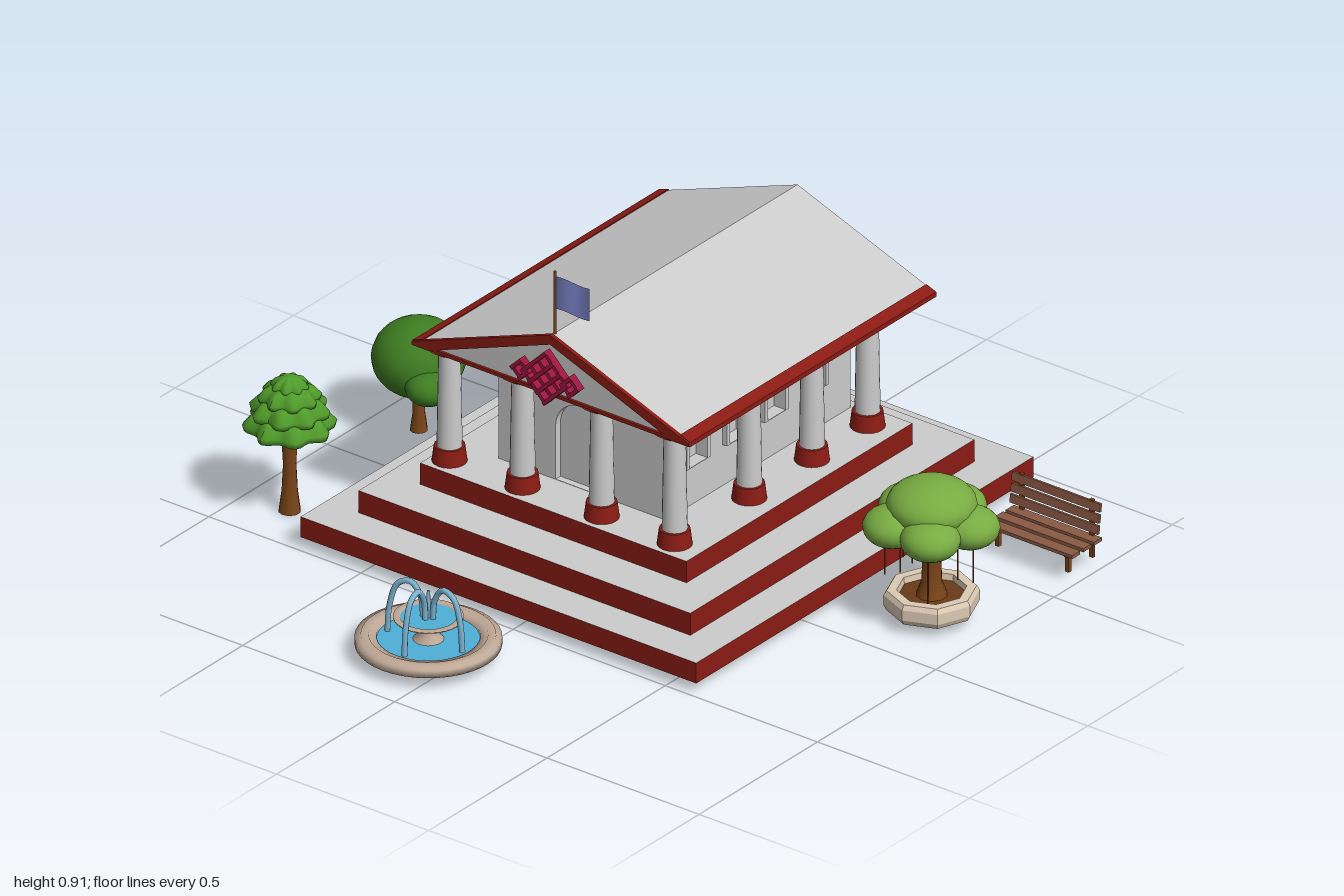
import * as THREE from 'three';

const mat = (color, extra = {}) => new THREE.MeshStandardMaterial({ color, side: THREE.DoubleSide, ...extra });
const GREY = mat(0xcccccc), RED = mat(0x8b1c14), REDFLAT = mat(0x8b1c14, { flatShading: true });
const CREAM = mat(0xdccab4, { flatShading: true }), STONE = mat(0xbfa896), WATER = mat(0x4fb0d8), JET = mat(0x7db4d2);
const BARK = mat(0x7a4418), SOIL = mat(0x6b3a18), WOOD = mat(0x8a5a44), KNOT = mat(0x9c1440), FLAG = mat(0x7f88d0);

export function createModel() {
  const root = new THREE.Group();
  const group = (name, x = 0, y = 0, z = 0) => {
    const g = new THREE.Group();
    g.name = name;
    g.position.set(x, y, z);
    root.add(g);
    return g;
  };
  const add = (parent, name, geo, material, x = 0, y = 0, z = 0) => {
    const m = new THREE.Mesh(geo, material);
    m.name = name;
    m.position.set(x, y, z);
    parent.add(m);
    return m;
  };
  const box = (w, h, d) => new THREE.BoxGeometry(w, h, d);
  const poly = (pts) => new THREE.Shape(pts.map(([x, y]) => new THREE.Vector2(x, y)));
  const extrude = (shape, depth) => new THREE.ExtrudeGeometry(shape, { depth, bevelEnabled: false, curveSegments: 10 });
  const lathe = (pts, seg = 32) => new THREE.LatheGeometry(pts.map(([r, y]) => new THREE.Vector2(r, y)), seg);
  // round-topped outline with its foot at (cx, y0)
  const arch = (path, cx, y0, w, h) => {
    path.moveTo(cx - w / 2, y0);
    path.lineTo(cx + w / 2, y0);
    path.lineTo(cx + w / 2, y0 + h - w / 2);
    path.absarc(cx, y0 + h - w / 2, w / 2, 0, Math.PI, false);
    path.lineTo(cx - w / 2, y0);
    return path;
  };
  const CX = -0.08;

  // stepped base: open red walls with grey ring treads
  const steps = [
    [-0.71, 0.59, -0.94, 0.485, 0.03, 0.09],
    [-0.605, 0.485, -0.825, 0.375, 0.09, 0.155],
    [-0.5, 0.375, -0.705, 0.25, 0.155, 0.218],
  ];
  const base = group('steppedBase');
  const rect = ([x0, x1, z0, z1]) => [[x0, -z1], [x1, -z1], [x1, -z0], [x0, -z0]];
  steps.forEach((s, i) => {
    const [x0, x1, z0, z1, y0, y1] = s;
    const wall = new THREE.CylinderGeometry(Math.SQRT1_2, Math.SQRT1_2, 1, 4, 1, true, Math.PI / 4);
    wall.scale(x1 - x0, y1 - y0, z1 - z0);
    add(base, 'stepRiser', wall, REDFLAT, (x0 + x1) / 2, (y0 + y1) / 2, (z0 + z1) / 2);
    const tread = poly(rect(s));
    if (steps[i + 1]) tread.holes.push(poly(rect(steps[i + 1])));
    add(base, 'stepTread', new THREE.ShapeGeometry(tread).rotateX(-Math.PI / 2), GREY, 0, y1, 0);
  });

  // hall walls with arched door and windows
  const hall = group('hall');
  const Y0 = 0.218, Y1 = 0.558, ZF = 0.105, ZB = -0.675, XL = -0.355, XR = 0.195, T = 0.03;
  const front = poly([[XL, Y0], [XR, Y0], [XR, Y1], [XL, Y1]]);
  front.holes.push(arch(new THREE.Path(), CX - 0.005, Y0 + 0.001, 0.165, 0.24));
  add(hall, 'frontWall', extrude(front, T), GREY, 0, 0, ZF - T);
  add(hall, 'door', extrude(arch(new THREE.Shape(), CX - 0.005, Y0, 0.165, 0.24), 0.005), GREY, 0, 0, ZF - 0.025);
  add(hall, 'backWall', box(XR - XL, Y1 - Y0, T), GREY, (XL + XR) / 2, (Y0 + Y1) / 2, ZB + T / 2);
  const windowZ = [-0.015, -0.185, -0.345, -0.515];
  for (const side of [1, -1]) {
    const outer = side > 0 ? XR : XL;
    const wall = poly([[ZB, Y0], [ZF, Y0], [ZF, Y1], [ZB, Y1]]);
    windowZ.forEach((z) => wall.holes.push(arch(new THREE.Path(), z, 0.34, 0.075, 0.115)));
    const turn = (shape, d) => extrude(shape, d).rotateY(-Math.PI / 2);
    add(hall, 'sideWall', turn(wall, T), GREY, side > 0 ? outer : outer + T);
    for (const z of windowZ) {
      const frame = arch(new THREE.Shape(), z, 0.338, 0.1, 0.132);
      frame.holes.push(arch(new THREE.Path(), z, 0.34, 0.075, 0.115));
      add(hall, 'windowFrame', turn(frame, 0.014), GREY, outer + (side > 0 ? 0.014 : 0));
      add(hall, 'windowPane', turn(arch(new THREE.Shape(), z, 0.34, 0.075, 0.115), 0.004), GREY, outer - side * 0.024);
    }
  }

  // columns with red feet and capitals
  const columnSpots = [[-0.21, 0.19], [0.05, 0.19]];
  for (const x of [-0.45, 0.29]) for (const z of [0.19, -0.125, -0.39, -0.625]) columnSpots.push([x, z]);
  for (const [x, z] of columnSpots) {
    const c = group('column', x, 0, z);
    add(c, 'columnFoot', new THREE.CylinderGeometry(0.041, 0.047, 0.048, 20), RED, 0, 0.24);
    add(c, 'columnShaft', new THREE.CylinderGeometry(0.029, 0.034, 0.285, 20), GREY, 0, 0.402);
    add(c, 'columnCapital', new THREE.CylinderGeometry(0.06, 0.036, 0.016, 20), RED, 0, 0.546);
  }

  // gabled roof with red trim
  const roof = group('roof', CX);
  add(roof, 'roofBody', extrude(poly([[-0.455, 0.556], [0.455, 0.556], [0.455, 0.56], [0, 0.728], [-0.455, 0.56]]), 1.04), GREY, 0, 0, -0.805);
  const chevron = poly([[-0.455, 0.552], [-0.4, 0.552], [0, 0.703], [0.4, 0.552], [0.455, 0.552], [0.455, 0.562], [0, 0.731], [-0.455, 0.562]]);
  add(roof, 'gableTrim', extrude(chevron, 0.012), RED, 0, 0, 0.23);
  add(roof, 'gableSill', box(0.84, 0.01, 0.012), RED, 0, 0.557, 0.236);
  for (const s of [1, -1]) {
    const eave = poly([[s * 0.456, 0.549], [s * 0.456, 0.563], [s * 0.423, 0.575], [s * 0.423, 0.549]]);
    add(roof, 'eaveTrim', extrude(eave, 1.04), RED, 0, 0, -0.805);
  }

  // woven lattice ornament on the gable
  const knot = group('latticeOrnament', CX + 0.005, 0.617, 0.26);
  const bar = (u, v, len, turn) => {
    const a = turn ? Math.PI / 4 : -Math.PI / 4, r = Math.SQRT1_2;
    add(knot, 'latticeBar', box(len, 0.011, 0.022), KNOT, (u - v) * r, (u + v) * r, turn ? 0.003 : 0).rotation.z = a;
  };
  for (const k of [-1.5, -0.5, 0.5, 1.5]) {
    bar(0, k * 0.034, 0.113, true);
    bar(k * 0.034, 0, 0.113, false);
  }
  // small loops at the left and right tips
  for (const s of [1, -1]) {
    for (const e of [0.04, 0.075]) {
      bar(s * 0.0575, -s * e, 0.046, true);
      bar(s * e, -s * 0.0575, 0.046, false);
    }
  }

  // flagpole and waving flag
  const pole = group('flagpole', CX, 0, 0.22);
  add(pole, 'pole', new THREE.CylinderGeometry(0.004, 0.004, 0.2, 8), BARK, 0, 0.81);
  const flag = new THREE.PlaneGeometry(0.113, 0.095, 12, 1);
  const fp = flag.attributes.position;
  for (let i = 0; i < fp.count; i++) {
    const w = Math.sin((fp.getX(i) + 0.056) * 55);
    fp.setY(i, fp.getY(i) + w * 0.004);
    fp.setZ(i, w * 0.003);
  }
  flag.computeVertexNormals();
  add(pole, 'flag', flag, FLAG, 0.0565, 0.848);

  // fountain: stepped basin, upper bowl and three arching jets
  const fountain = group('fountain', -0.088, 0, 0.745);
  add(fountain, 'basin', lathe([[0.135, 0.035], [0.192, 0.035], [0.192, 0.055], [0.178, 0.055], [0.176, 0.062], [0.155, 0.062], [0.153, 0.056], [0.135, 0.056], [0.135, 0.035]], 40), STONE);
  add(fountain, 'basinWater', new THREE.CylinderGeometry(0.136, 0.136, 0.01, 40), WATER, 0, 0.044);
  add(fountain, 'pedestal', lathe([[0.045, 0.045], [0.025, 0.065], [0.02, 0.1], [0.03, 0.108]], 20), STONE);
  add(fountain, 'upperBowl', lathe([[0, 0.104], [0.06, 0.106], [0.092, 0.112], [0.092, 0.116], [0.075, 0.116], [0.072, 0.111]]), STONE);
  add(fountain, 'bowlWater', new THREE.CircleGeometry(0.074, 32).rotateX(-Math.PI / 2), WATER, 0, 0.113);
  for (const a of [0.28, 1.66, 2.78 + Math.PI / 2 + 2.1 - 3.35]) {
    const pts = [[0.015, 0.11], [0.022, 0.17], [0.05, 0.208], [0.085, 0.195], [0.108, 0.13], [0.115, 0.05]];
    const arc = new THREE.CatmullRomCurve3(pts.map(([r, y]) => new THREE.Vector3(r, y, 0)));
    add(fountain, 'waterJet', new THREE.TubeGeometry(arc, 24, 0.008, 8), JET).rotation.y = a + Math.PI;
  }
  add(fountain, 'centreJet', new THREE.CylinderGeometry(0.004, 0.009, 0.08, 8), JET, 0, 0.15);

  const leaf = (parent, color, r, x, y, z, squash = 1) =>
    add(parent, 'foliage', new THREE.SphereGeometry(r, 20, 14).scale(1, squash, 1), mat(color), x, y, z);
  const trunk = (parent, pts) => add(parent, 'trunk', lathe(pts, 10), BARK);

  // spreading tree in an octagonal planter
  const spread = group('planterTree', 0.818, 0, -0.217);
  add(spread, 'planter', lathe([[0.1, 0.03], [0.118, 0.03], [0.126, 0.045], [0.126, 0.075], [0.118, 0.088], [0.092, 0.088], [0.088, 0.06]], 8), CREAM);
  add(spread, 'soil', new THREE.CylinderGeometry(0.1, 0.1, 0.03, 8), SOIL, 0, 0.055);
  trunk(spread, [[0.042, 0.07], [0.028, 0.11], [0.025, 0.2], [0.045, 0.28]]);
  leaf(spread, 0x78ac42, 0.12, 0, 0.335, 0, 0.58);
  for (let i = 0; i < 5; i++) {
    const a = Math.PI / 2 * 3 + i * Math.PI * 2 / 5;
    const lx = Math.cos(a) * 0.105, lz = Math.sin(a) * 0.105;
    leaf(spread, 0x78ac42, 0.08, lx, 0.287, lz, 0.68);
    for (const k of [0.75, 1.15])
      add(spread, 'hangingVine', new THREE.CylinderGeometry(0.002, 0.002, 0.12, 5), BARK, lx * k, 0.21 - 0.02 * (i % 3), lz * k + 0.01);
  }

  // round tree with a small side clump
  const round = group('roundTree', -0.862, 0, -0.21);
  trunk(round, [[0.024, 0], [0.017, 0.05], [0.016, 0.16]]);
  leaf(round, 0x3f7d22, 0.125, 0, 0.215, 0, 0.85);
  leaf(round, 0x3f7d22, 0.062, 0.09, 0.185, 0.075, 0.75);

  // tiered tree with scalloped layers
  const tiered = group('tieredTree', -0.855, 0, 0.345);
  trunk(tiered, [[0.03, 0], [0.022, 0.06], [0.018, 0.14], [0.024, 0.25]]);
  [[0.12, 0.232, 0.085], [0.105, 0.277, 0.075], [0.082, 0.32, 0.06], [0.05, 0.358, 0.04]].forEach(([r, y, h], t) => {
    const g = lathe([[0, 0], [0.6 * r, 0], [0.96 * r, 0.14 * h], [r, 0.35 * h], [0.78 * r, 0.7 * h], [0.35 * r, 0.95 * h], [0, h]], 48);
    const p = g.attributes.position;
    for (let i = 0; i < p.count; i++) {
      const k = 0.95 + 0.09 * Math.cos(8 * Math.atan2(p.getZ(i), p.getX(i)) + t * Math.PI);
      p.setXYZ(i, p.getX(i) * k, p.getY(i), p.getZ(i) * k);
    }
    g.computeVertexNormals();
    add(tiered, 'foliageTier', g, mat(0x4f9a2a), 0, y);
  });

  // slatted bench
  const bench = group('bench', 0.85, 0, -0.65);
  for (const z of [0.05, 0.003, -0.042]) add(bench, 'seatSlat', box(0.29, 0.01, 0.034), WOOD, 0, 0.08, z);
  [0.112, 0.143, 0.174].forEach((y, i) => {
    add(bench, 'backSlat', box(0.29, 0.024, 0.008), WOOD, 0, y, -0.046 - i * 0.004).rotation.x = -0.12;
  });
  for (const x of [-0.115, 0.115]) {
    add(bench, 'frontLeg', box(0.012, 0.055, 0.012), BARK, x, 0.0475, 0.045);
    add(bench, 'backLeg', box(0.012, 0.17, 0.01), BARK, x, 0.105, -0.056);
    add(bench, 'seatRail', box(0.012, 0.01, 0.11), BARK, x, 0.07, 0);
  }
  return root;
}
